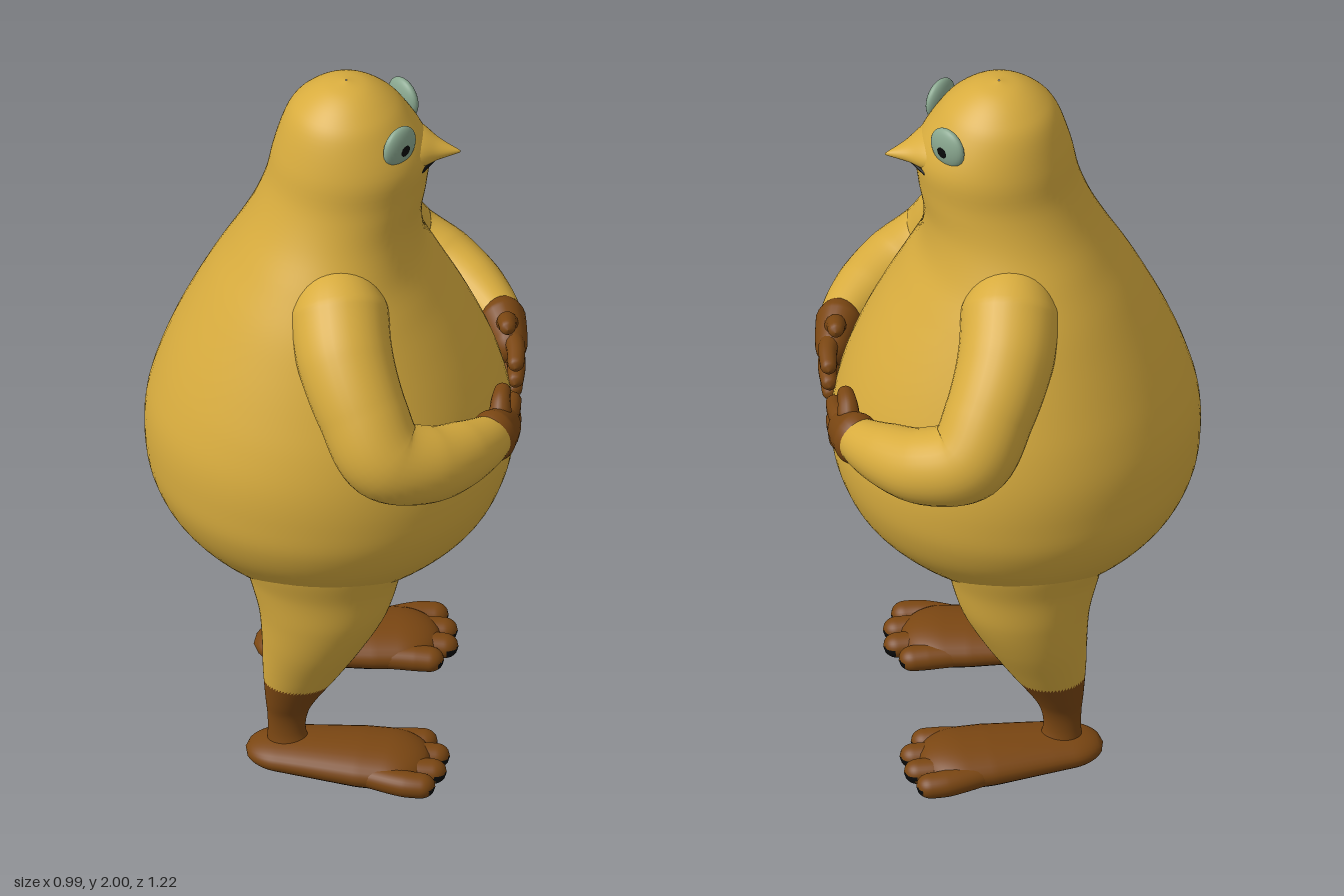
import * as THREE from 'three';
import { mergeVertices } from 'three/addons/utils/BufferGeometryUtils.js';

const V = (x, y, z) => new THREE.Vector3(x, y, z);
const mat = (name, color) => {
  const m = new THREE.MeshStandardMaterial({ color });
  m.name = name;
  return m;
};

// Weld a geometry and give it smooth normals
function smooth(geo) {
  geo.deleteAttribute('uv');
  geo.deleteAttribute('normal');
  const g = mergeVertices(geo, 1e-5);
  g.computeVertexNormals();
  return g;
}

// Keep every vertex above a floor height
function flatten(geo, floor) {
  const p = geo.attributes.position;
  for (let i = 0; i < p.count; i++) p.setY(i, Math.max(floor, p.getY(i)));
  return geo;
}

// Elliptical loft through rows of [y, xMin, xMax, zMin, zMax]
function loft(rows, side = 1, rings = 72, around = 56) {
  const mid = new THREE.CatmullRomCurve3(rows.map(r => V((r[1] + r[2]) / 2, r[0], side * (r[3] + r[4]) / 2)), false, 'catmullrom');
  const rad = new THREE.CatmullRomCurve3(rows.map(r => V((r[2] - r[1]) / 2, 0, (r[4] - r[3]) / 2)), false, 'catmullrom');
  const pos = [], idx = [];
  for (let i = 0; i <= rings; i++) {
    const c = mid.getPoint(i / rings), r = rad.getPoint(i / rings);
    for (let j = 0; j < around; j++) {
      const a = j / around * Math.PI * 2;
      pos.push(c.x + r.x * Math.sin(a), c.y, c.z + r.z * Math.cos(a));
      if (i === rings) continue;
      const k = (j + 1) % around, b = i * around, t = b + around;
      idx.push(b + j, b + k, t + k, b + j, t + k, t + j);
    }
  }
  const g = new THREE.BufferGeometry();
  g.setAttribute('position', new THREE.Float32BufferAttribute(pos, 3));
  g.setIndex(idx);
  return g;
}

// Round-ended tube through points of [x, y, z, radius], squashed in height
function limb(pts, side = 1, squash = 1, segs = 48, around = 24) {
  const curve = new THREE.CatmullRomCurve3(pts.map(p => V(p[0], p[1], p[2] * side)));
  const g = new THREE.TubeGeometry(curve, segs, 1, around, false);
  const p = g.attributes.position, v = V(0, 0, 0), L = curve.getLength();
  for (let i = 0; i <= segs; i++) {
    const u = i / segs, c = curve.getPointAt(u);
    const t = curve.getUtoTmapping(u) * (pts.length - 1);
    const k = Math.min(pts.length - 2, Math.floor(t));
    let r = THREE.MathUtils.lerp(pts[k][3], pts[k + 1][3], t - k);
    const e = Math.min(u, 1 - u) * L;
    if (e < r) r = Math.sqrt(Math.max(1e-7, r * r - (r - e) ** 2));
    for (let j = 0; j <= around; j++) {
      const n = i * (around + 1) + j;
      v.fromBufferAttribute(p, n).sub(c).multiplyScalar(r);
      p.setXYZ(n, c.x + v.x, c.y + v.y * squash, c.z + v.z);
    }
  }
  return g;
}

// Split faces into two material groups by a test on face centre and normal
function split(geo, test) {
  const p = geo.attributes.position, ix = geo.index.array, first = [], second = [];
  const tri = new THREE.Triangle(), c = V(0, 0, 0), n = V(0, 0, 0);
  for (let i = 0; i < ix.length; i += 3) {
    tri.setFromAttributeAndIndices(p, ix[i], ix[i + 1], ix[i + 2]);
    tri.getMidpoint(c);
    tri.getNormal(n);
    (test(c, n) ? second : first).push(ix[i], ix[i + 1], ix[i + 2]);
  }
  geo.setIndex([...first, ...second]);
  geo.addGroup(0, first.length, 0);
  geo.addGroup(first.length, second.length, 1);
  return geo;
}

export function createModel() {
  const root = new THREE.Group();
  const yellow = mat('golden skin', 0xd8ac3e), brown = mat('brown skin', 0x7a4612);
  const black = mat('black', 0x0a0a0a), iris = mat('grey green eye', 0x8aa890);
  const add = (name, geo, m, parent = root) => {
    const mesh = new THREE.Mesh(geo, m);
    mesh.name = name;
    parent.add(mesh);
    return mesh;
  };

  // Pear-shaped body and head, facing +x
  const body = [
    [0.505, -0.03, -0.02, 0.005], [0.515, -0.14, 0.1, 0.13], [0.55, -0.25, 0.2, 0.25],
    [0.6, -0.34, 0.295, 0.345], [0.7, -0.435, 0.4, 0.44], [0.8, -0.485, 0.45, 0.487],
    [0.9, -0.5, 0.468, 0.497], [1.0, -0.495, 0.457, 0.492], [1.1, -0.468, 0.43, 0.47],
    [1.2, -0.43, 0.39, 0.435], [1.3, -0.383, 0.34, 0.395], [1.4, -0.33, 0.285, 0.35],
    [1.5, -0.272, 0.237, 0.295], [1.6, -0.222, 0.225, 0.24], [1.7, -0.185, 0.24, 0.208],
    [1.8, -0.163, 0.245, 0.195], [1.9, -0.13, 0.19, 0.158], [1.95, -0.09, 0.145, 0.117],
    [1.985, -0.035, 0.09, 0.064], [2.0, 0.025, 0.03, 0.003],
  ].map(([y, a, b, w]) => [y, a, b, -w, w]);
  add('body', smooth(loft(body, 1, 96, 72)), yellow);

  // Pointed beak, lofted along x and flat underneath
  const beak = loft([
    [0.15, -1.87, -1.74, -0.13, 0.13], [0.22, -1.843, -1.75, -0.085, 0.085],
    [0.27, -1.813, -1.765, -0.038, 0.038], [0.322, -1.788, -1.778, -0.004, 0.004],
    [0.325, -1.784, -1.783, -0.001, 0.001],
  ], 1, 30, 28).rotateZ(-Math.PI / 2).scale(1, 1, 1);
  // the quarter turn sends the loft's x to -y
  add('beak', smooth(flatten(beak, 1.775)), yellow);
  const lip = new THREE.CatmullRomCurve3([V(0.222, 1.766, -0.085), V(0.25, 1.774, -0.045),
    V(0.268, 1.776, 0), V(0.25, 1.774, 0.045), V(0.222, 1.766, 0.085)]);
  add('mouth', new THREE.TubeGeometry(lip, 24, 0.005, 8), black);

  for (const s of [1, -1]) {
    const tag = s > 0 ? 'left' : 'right';

    // Bulging eye with a dark pupil
    const eye = add(tag + 'Eye', new THREE.SphereGeometry(1, 28, 20), iris);
    eye.scale.set(0.057, 0.057, 0.022);
    eye.position.set(0.172, 1.872, s * 0.113);
    eye.rotation.y = Math.atan2(0.75, s * 0.66);
    const pupil = add(tag + 'Pupil', new THREE.SphereGeometry(1, 20, 14), black);
    pupil.scale.set(0.021, 0.021, 0.005);
    pupil.position.set(0.186, 1.868, s * 0.124);
    pupil.rotation.y = eye.rotation.y;

    // Bent arm resting on the belly
    add(tag + 'Arm', smooth(limb([
      [0, 1.53, 0.16, 0.09], [0.02, 1.44, 0.26, 0.13], [0.04, 1.36, 0.355, 0.127],
      [0.09, 1.25, 0.445, 0.118], [0.15, 1.145, 0.493, 0.115], [0.26, 1.1, 0.455, 0.103],
      [0.35, 1.08, 0.37, 0.086], [0.415, 1.065, 0.275, 0.062], [0.43, 1.06, 0.22, 0.05],
    ], s, 1, 80, 32)), yellow);

    // Hand with three fingers and a thumb
    const hand = new THREE.Group();
    hand.name = tag + 'Hand';
    root.add(hand);
    add('palm', smooth(limb([[0.4, 1.072, 0.325, 0.05], [0.424, 1.062, 0.262, 0.064],
      [0.444, 1.045, 0.2, 0.05], [0.455, 1.03, 0.14, 0.038]], s, 1.15)), brown, hand);
    const fingers = [
      [[0.44, 1.08, 0.22, 0.032], [0.44, 1.118, 0.18, 0.026], [0.445, 1.128, 0.125, 0.02]],
      [[0.45, 1.06, 0.2, 0.03], [0.465, 1.062, 0.14, 0.025], [0.468, 1.05, 0.062, 0.021]],
      [[0.45, 1.03, 0.2, 0.03], [0.466, 1.015, 0.14, 0.025], [0.466, 1.0, 0.06, 0.021]],
      [[0.445, 1.01, 0.2, 0.03], [0.46, 0.98, 0.15, 0.025], [0.462, 0.957, 0.075, 0.021]],
    ];
    fingers.forEach((f, i) => add(i ? 'finger' : 'thumb', smooth(limb(f, s, 1, 24, 14)), brown, hand));

    // Tapering leg, brown at the shin and up the inner side
    const leg = smooth(loft([
      [0.05, -0.17, -0.05, 0.19, 0.29], [0.1, -0.167, -0.067, 0.207, 0.277],
      [0.15, -0.168, -0.063, 0.207, 0.278], [0.2, -0.173, -0.04, 0.19, 0.295],
      [0.3, -0.18, 0.03, 0.152, 0.335], [0.4, -0.182, 0.093, 0.13, 0.372],
      [0.5, -0.19, 0.147, 0.117, 0.395], [0.6, -0.215, 0.178, 0.1, 0.405],
      [0.7, -0.24, 0.2, 0.09, 0.425], [0.8, -0.22, 0.18, 0.1, 0.42],
    ], s, 90, 64));
    add(tag + 'Leg', split(leg, (c, n) => c.y < 0.262 + 0.8 * Math.max(0, -n.z * s - 0.5)), [yellow, brown]);

    // Long flat foot with four toes and a black sole
    const foot = new THREE.Group();
    foot.name = tag + 'Foot';
    root.add(foot);
    const isSole = (c, n) => c.y < 0.014 && n.y < -0.4 || c.x > 0.262 && c.y < 0.036 && n.x > 0.2;
    const piece = (name, pts, squash) => {
      const g = smooth(flatten(limb(pts, s, squash, 48, 32), 0.004));
      add(name, split(g, isSole), [brown, black], foot);
    };
    piece('instep', [[-0.225, 0.036, 0.235, 0.075], [-0.08, 0.038, 0.25, 0.098],
      [0.08, 0.037, 0.27, 0.118], [0.265, 0.033, 0.288, 0.122]], 0.47);
    [[0.19, 0.275], [0.253, 0.31], [0.322, 0.305], [0.388, 0.278]].forEach(([z, end]) =>
      piece('toe', [[0.08, 0.035, 0.27 + (z - 0.288) * 0.75, 0.036],
        [0.2, 0.034, z, 0.039], [end, 0.031, z + (z - 0.288) * 0.05, 0.036]], 0.85));
  }
  return root;
}
